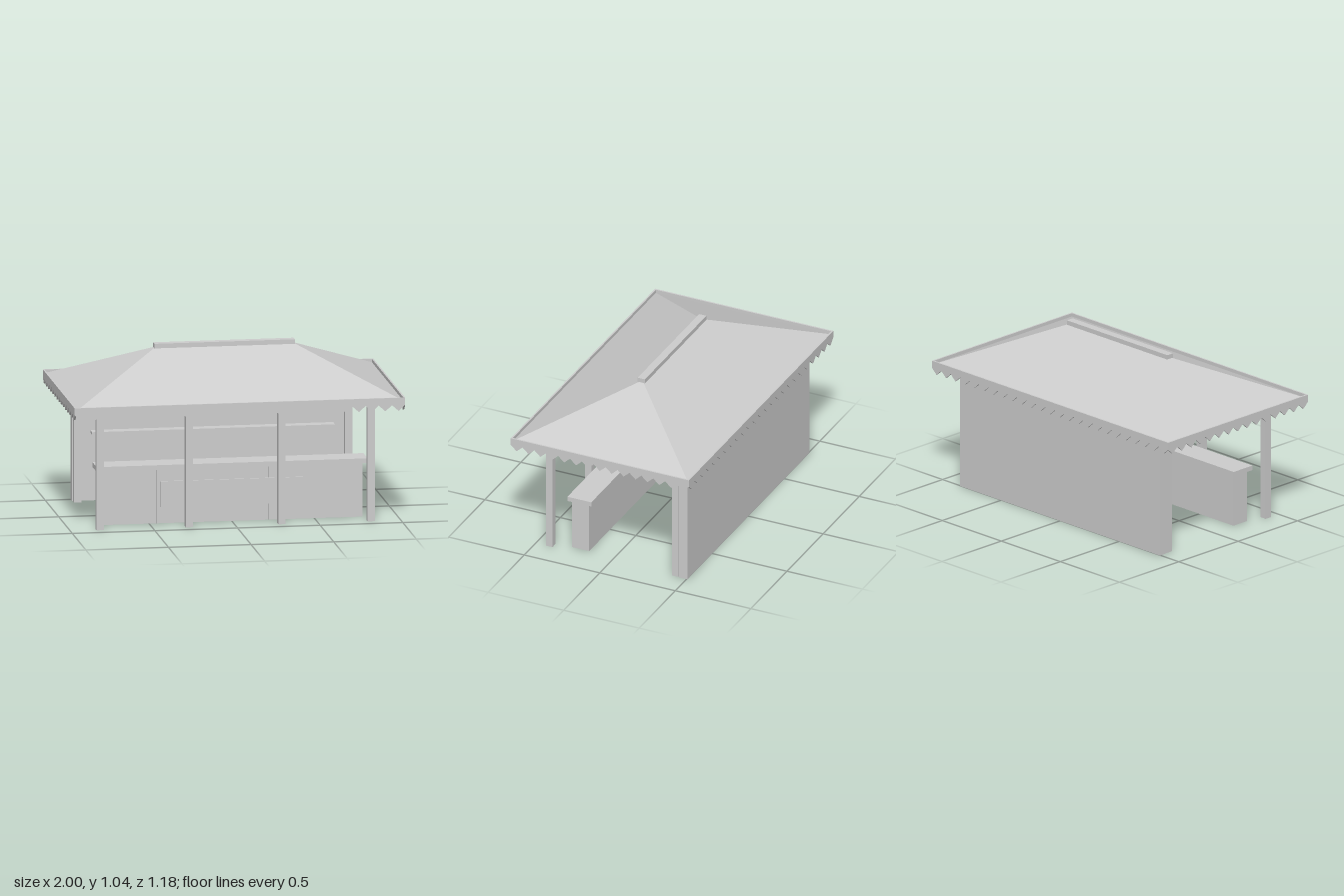
import * as THREE from 'three';

export function createModel() {
  const model = new THREE.Group();
  model.name = 'marketStall';
  const grey = new THREE.MeshStandardMaterial({ color: 0xcccccc });
  grey.name = 'plain grey';

  function add(geometry, name) {
    const mesh = new THREE.Mesh(geometry, grey);
    mesh.name = name;
    model.add(mesh);
    return mesh;
  }
  // Box given by its extents
  function box(name, x0, x1, y0, y1, z0, z1) {
    const mesh = add(new THREE.BoxGeometry(x1 - x0, y1 - y0, z1 - z0), name);
    mesh.position.set((x0 + x1) / 2, (y0 + y1) / 2, (z0 + z1) / 2);
    return mesh;
  }

  // Hipped roof: a box whose upper corners are drawn in to the ridge line
  const roofBase = 0.757, ridgeY = 1.02;
  const roof = new THREE.BoxGeometry(1.99, ridgeY - roofBase, 1.17).toNonIndexed();
  const p = roof.attributes.position;
  for (let i = 0; i < p.count; i++) {
    if (p.getY(i) > 0) {
      p.setX(i, Math.sign(p.getX(i)) * 0.41);
      p.setZ(i, 0);
    }
  }
  roof.translate(0, (roofBase + ridgeY) / 2, 0);
  roof.computeVertexNormals();
  add(roof, 'roof');
  box('ridgeCap', -0.425, 0.425, 1.012, 1.04, -0.024, 0.024);

  // Zigzag valances around the eaves
  function valance(name, length, teeth, angle, distance) {
    const shape = new THREE.Shape();
    const pitch = length / teeth;
    shape.moveTo(-length / 2, 0.78);
    for (let i = 0; i < teeth; i++) {
      shape.lineTo(-length / 2 + i * pitch, 0.736);
      shape.lineTo(-length / 2 + (i + 0.5) * pitch, 0.7);
    }
    shape.lineTo(length / 2, 0.736);
    shape.lineTo(length / 2, 0.78);
    const geometry = new THREE.ExtrudeGeometry(shape, { depth: 0.01, bevelEnabled: false });
    geometry.translate(0, 0, distance - 0.01);
    geometry.rotateY(angle);
    add(geometry, name);
  }
  valance('frontValance', 2, 25, 0, 0.59);
  valance('backValance', 2, 25, Math.PI, 0.59);
  valance('leftValance', 1.18, 15, Math.PI / 2, 1);
  valance('rightValance', 1.18, 15, -Math.PI / 2, 1);

  // Posts
  for (const x of [-0.82, -0.28, 0.28, 0.82]) {
    box('frontPost', x - 0.022, x + 0.022, 0, 0.76, 0.389, 0.433);
  }
  for (const x of [-0.82, 0.82]) {
    box('backPost', x - 0.022, x + 0.022, 0, 0.76, -0.445, -0.401);
  }

  // Back wall and its shelves
  box('backWall', -0.845, 0.845, 0, 0.76, -0.505, -0.452);
  for (const y of [0.413, 0.541]) {
    box('shelf', -0.735, 0.735, y, y + 0.016, -0.452, -0.383);
  }

  // Counter with plank strips and a raised front panel
  box('counterBody', -0.79, 0.79, 0, 0.328, 0.17, 0.285);
  box('counterTop', -0.82, 0.82, 0.328, 0.357, 0.142, 0.3);
  for (let i = -3; i <= 3; i++) {
    const x = i * 0.225;
    box('counterStrip', x - 0.004, x + 0.004, 0, 0.328, 0.284, 0.288);
  }
  box('counterPanel', -0.43, 0.43, 0.1, 0.256, 0.284, 0.294);

  return model;
}
